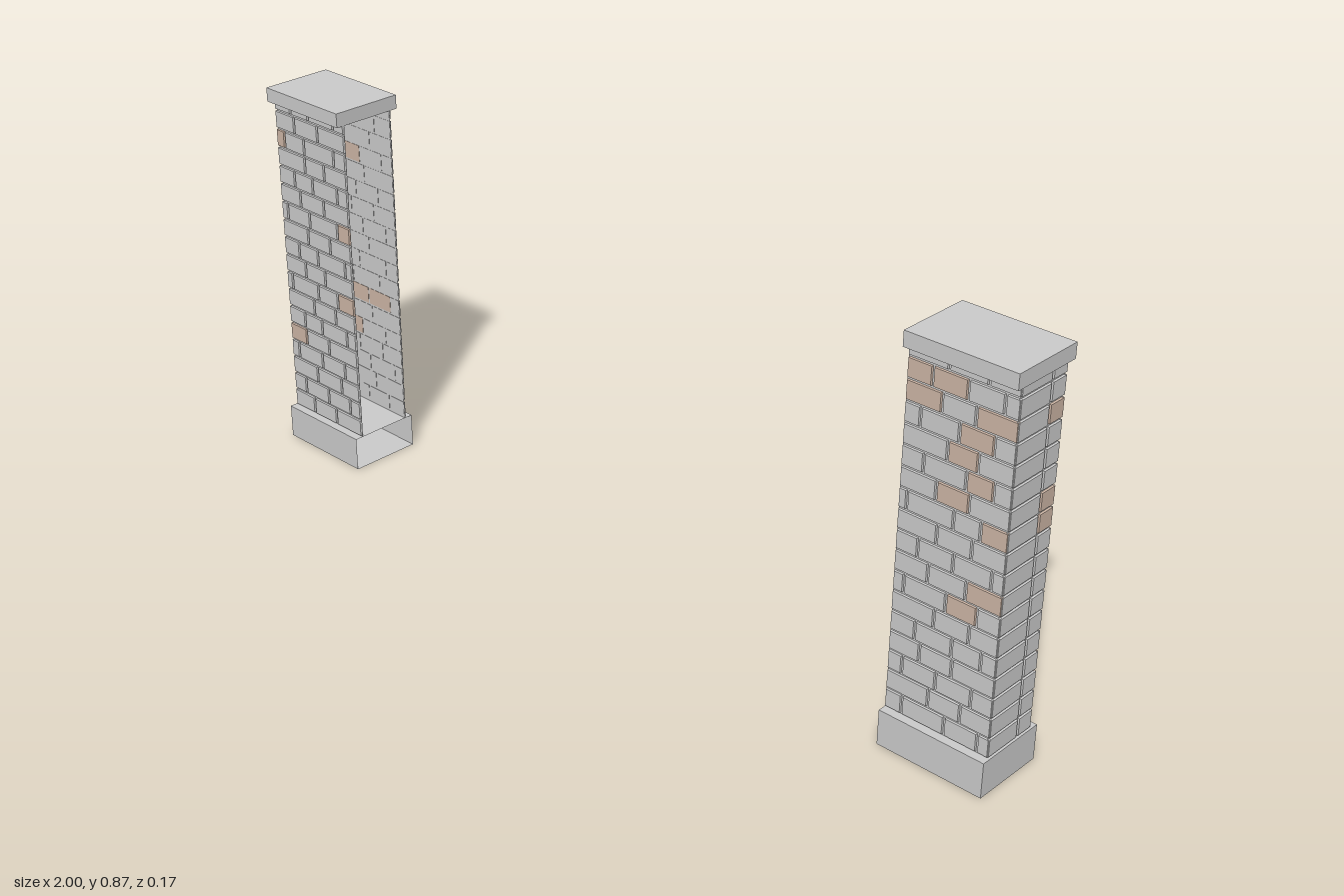
import * as THREE from 'three';
import { mergeGeometries } from 'three/addons/utils/BufferGeometryUtils.js';

const INNER = 0.76, OUTER = 0.997, HALF = 0.068;   // brick faces of the shaft
const BOTTOM = 0.078, TOP = 0.838, COURSE = 0.0434, GAP = 0.004, RECESS = 0.004;

const grey = new THREE.MeshStandardMaterial({ color: 0xcccccc, side: THREE.DoubleSide });
const tan = new THREE.MeshStandardMaterial({ color: 0xccb5a5, side: THREE.DoubleSide });

function seeded(seed) {
  let s = seed;
  return () => (s = (s * 16807) % 2147483647) / 2147483647;
}

// Shallow brick facing +z at z = 0, its front edges slightly drawn in
function brickGeometry(u0, u1, y0, y1) {
  const w = u1 - u0, h = y1 - y0, d = RECESS + 0.001, bevel = 0.0012;
  const g = new THREE.BoxGeometry(w, h, d);
  const p = g.attributes.position;
  for (let i = 0; i < p.count; i++) {
    if (p.getZ(i) > 0) {
      p.setX(i, p.getX(i) - Math.sign(p.getX(i)) * bevel);
      p.setY(i, p.getY(i) - Math.sign(p.getY(i)) * bevel);
    }
  }
  g.computeVertexNormals();
  return g.translate((u0 + u1) / 2, (y0 + y1) / 2, -d / 2);
}

// Box without its -x face
function openBox(x0, x1, y0, y1, halfZ) {
  const g = new THREE.BoxGeometry(x1 - x0, y1 - y0, halfZ * 2);
  const idx = Array.from(g.index.array);
  idx.splice(6, 6);
  g.setIndex(idx);
  return g.translate((x0 + x1) / 2, (y0 + y1) / 2, 0);
}

// Pillar on the +x side, open towards the middle
function createPillar(seed, name) {
  const rand = seeded(seed);
  const pillar = new THREE.Group();
  pillar.name = name;
  const add = (geometry, material, partName) => {
    const mesh = new THREE.Mesh(geometry, material);
    mesh.name = partName;
    pillar.add(mesh);
  };

  // Plinth and capstone
  add(openBox(INNER, 1, 0, BOTTOM, 0.084), grey, 'plinth');
  const cap = new THREE.BoxGeometry(1 - INNER, 0.032, 0.168);
  add(cap.translate((1 + INNER) / 2, TOP + 0.016, 0), grey, 'capstone');

  // Recessed mortar walls on three sides
  const midY = (BOTTOM + TOP) / 2, height = TOP - BOTTOM;
  const wallX = OUTER - RECESS, wallZ = HALF - RECESS;
  const long = () => new THREE.PlaneGeometry(wallX - INNER, height);
  add(mergeGeometries([
    long().translate((wallX + INNER) / 2, midY, wallZ),
    long().rotateY(Math.PI).translate((wallX + INNER) / 2, midY, -wallZ),
    new THREE.PlaneGeometry(wallZ * 2, height).rotateY(Math.PI / 2).translate(wallX, midY, 0),
  ]), grey, 'mortarWalls');

  // Brick courses on the front, back and outer side
  const bricks = [], tanBricks = [];
  const lay = (g) => (rand() < 0.14 ? tanBricks : bricks).push(g);
  const patterns = [
    [0, 0.2, 0.56, 0.88, 1], [0, 0.38, 0.72, 1], [0, 0.12, 0.48, 0.8, 1], [0, 0.3, 0.64, 1],
  ];
  const length = OUTER - 0.001 - INNER;
  for (let row = 0, y = BOTTOM; y < TOP - 0.005; row++, y += COURSE) {
    const y0 = y + GAP / 2, y1 = Math.min(y + COURSE - GAP / 2, TOP);
    for (const back of [false, true]) {
      const cuts = patterns[(row + (back ? 1 : 0)) % 4]
        .map((c) => INNER + length * (c > 0 && c < 1 ? c + (rand() - 0.5) * 0.08 : c));
      for (let i = 0; i + 1 < cuts.length; i++) {
        const a = cuts[i] + (i > 0 ? GAP / 2 : 0.001);
        const b = cuts[i + 1] - (i + 2 < cuts.length ? GAP / 2 : 0);
        lay(back
          ? brickGeometry(-b, -a, y0, y1).rotateY(Math.PI).translate(0, 0, -HALF)
          : brickGeometry(a, b, y0, y1).translate(0, 0, HALF));
      }
    }
    // One long and one short brick per course on the outer side
    for (const [a, b] of [[-HALF + 0.001, 0.022], [0.026, HALF - 0.001]]) {
      lay(brickGeometry(a, b, y0, y1).rotateY(Math.PI / 2).translate(OUTER, 0, 0));
    }
  }
  add(mergeGeometries(bricks), grey, 'greyBricks');
  add(mergeGeometries(tanBricks), tan, 'tanBricks');
  return pillar;
}

export function createModel() {
  const model = new THREE.Group();
  model.name = 'brickPillars';
  const left = createPillar(4711, 'leftPillar');
  const right = createPillar(90210, 'rightPillar');
  right.rotation.y = Math.PI;
  model.add(left, right);
  return model;
}
